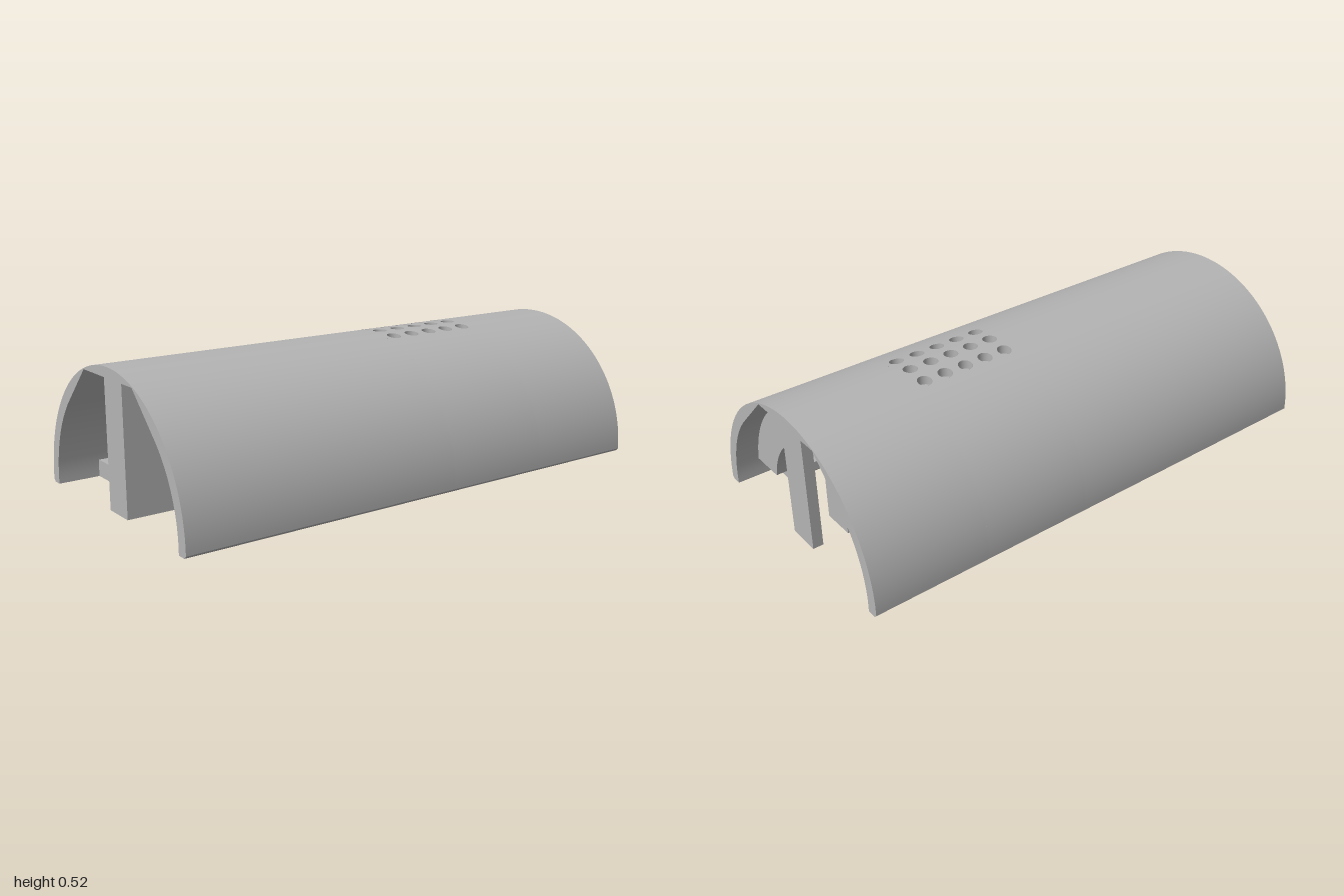
import * as THREE from 'three';
import { toCreasedNormals } from 'three/addons/utils/BufferGeometryUtils.js';
import { ParametricGeometry } from 'three/addons/geometries/ParametricGeometry.js';

const CY = 0.018, R = 0.5, RI = 0.455, ROOF = 0.48;   // shell axis height, radii, flat ceiling
const PITCH = 0.0875, HOLE = 0.027, HALF = 0.065;     // vent spacing and radius, core half width
const HOLE_X = [0, 1, 2, 3, 4].map((i) => 0.15 + i * PITCH);

const outerY = (z) => CY + Math.sqrt(R * R - z * z);

function arc(r, a0, a1, n) {
  return Array.from({ length: n + 1 }, (_, i) => {
    const a = a0 + (a1 - a0) * i / n;
    return new THREE.Vector2(r * Math.cos(a), CY + r * Math.sin(a));
  });
}
const pts = (list) => list.map(([x, y]) => new THREE.Vector2(x, y));
const mirror = (list) => list.map((p) => new THREE.Vector2(-p.x, p.y)).reverse();

// Cross-section (z, y) pulled along x
function along(points, x0, x1) {
  const g = new THREE.ExtrudeGeometry(new THREE.Shape(points), { depth: x1 - x0, bevelEnabled: false });
  g.rotateY(Math.PI / 2).translate(x0, 0, 0);
  return toCreasedNormals(g, 0.4);
}
// Plan outline (x, z) raised along y
function upward(shape, y0, y1) {
  const g = new THREE.ExtrudeGeometry(shape, { depth: y1 - y0, bevelEnabled: false, curveSegments: 24 });
  g.rotateX(-Math.PI / 2).translate(0, y0, 0);
  return toCreasedNormals(g, 0.6);
}
function rectangle(x0, x1, h) {
  return new THREE.Shape(pts([[x0, -h], [x1, -h], [x1, h], [x0, h]]));
}

// One side of the shell wall, from the crown at z = zc down to the foot and back up inside
function halfWall(zc) {
  return [
    ...arc(R, Math.acos(zc / R), 0, 48),
    ...pts([[0.5, 0.01], [0.49, 0], [RI, 0]]),
    ...arc(RI, 0, Math.PI / 4, 20),
    ...pts([[0.18, ROOF]]),
  ];
}

export function createModel() {
  const model = new THREE.Group();
  const grey = new THREE.MeshStandardMaterial({ color: 0xb4b4b4 });
  grey.name = 'plain grey';
  const add = (name, geometry, parent = model) => {
    const m = new THREE.Mesh(geometry, grey);
    m.name = name;
    parent.add(m);
    return m;
  };
  const group = (name) => {
    const g = new THREE.Group();
    g.name = name;
    model.add(g);
    return g;
  };

  // Arched shell, full sections either side of the vent area
  const shell = group('archedShell');
  const vx0 = HOLE_X[0] - PITCH / 2, vx1 = HOLE_X[4] + PITCH / 2, vz = PITCH * 1.5;
  const half = halfWall(0);
  const full = [...half, ...mirror(half).slice(0, -1)];
  add('shellRightEnd', along(full, -1, vx0), shell);
  add('shellLeftEnd', along(full, vx1, 1), shell);
  const flank = [...halfWall(vz), new THREE.Vector2(vz, ROOF)];
  add('shellBackFlank', along(flank, vx0, vx1), shell);
  add('shellFrontFlank', along(mirror(flank), vx0, vx1), shell);

  // Vent area: each cell runs from a round hole to a square border
  const vents = group('ventHoles');
  for (const cx of HOLE_X) {
    for (const cz of [-PITCH, 0, PITCH]) {
      const cell = (u, v, out, height) => {
        const a = u * Math.PI * 2, c = Math.cos(a), s = Math.sin(a);
        const border = PITCH / 2 / Math.max(Math.abs(c), Math.abs(s));
        const r = HOLE + (border - HOLE) * v;
        const z = cz + r * s;
        out.set(cx + r * c, height(z), z);
      };
      add('ventTop', new ParametricGeometry((u, v, t) => cell(u, v, t, outerY), 32, 4), vents);
      add('ventUnderside', new ParametricGeometry((u, v, t) => cell(1 - u, v, t, () => ROOF), 32, 1), vents);
      add('ventBore', new ParametricGeometry((u, v, t) => {
        cell(u, 0, t, (z) => ROOF + (outerY(z) - ROOF) * v);
      }, 32, 1), vents);
    }
  }

  // Arched ribs inside the shell
  const a0 = Math.asin(0.057 / 0.478), a1 = Math.asin(0.057 / 0.315);
  const ribOutline = [...arc(0.478, a0, Math.PI - a0, 64), ...arc(0.315, Math.PI - a1, a1, 64)];
  for (const [x, w] of [[0.885, 0.05], [0.635, 0.05], [-0.02, 0.1]]) {
    add('archRib', along(ribOutline, x - w / 2, x + w / 2));
  }

  // Stepped rails along both feet
  const rail = pts([[0.345, 0], [0.47, 0], [0.47, 0.065], [0.31, 0.065], [0.31, 0.03], [0.335, 0.03], [0.335, 0.01]]);
  add('backRail', along(rail, -0.84, 0.84));
  add('frontRail', along(mirror(rail), -0.84, 0.84));

  // Central core: end post and short block
  const core = group('centralCore');
  add('endPost', upward(rectangle(0.94, 0.98, HALF), 0, 0.47), core);
  add('shortBlock', upward(rectangle(0.67, 0.84, HALF), 0, 0.47), core);

  // Block below the vents, bored through the middle and fluted on both sides
  const a = Math.asin((PITCH - HALF) / HOLE);
  const fluted = new THREE.Shape();
  fluted.moveTo(0.05, -HALF);
  for (const x of HOLE_X) fluted.absarc(x, -PITCH, HOLE, Math.PI - a, a, true);
  fluted.lineTo(0.6, -HALF);
  fluted.lineTo(0.6, HALF);
  for (const x of [...HOLE_X].reverse()) fluted.absarc(x, PITCH, HOLE, -a, -Math.PI + a, true);
  fluted.lineTo(0.05, HALF);
  for (const x of HOLE_X) {
    fluted.holes.push(new THREE.Path().absarc(x, 0, HOLE, 0, Math.PI * 2, true));
  }
  add('flutedBlock', upward(fluted, 0, 0.47), core);

  // Long box, open underneath
  add('boxSolidEnd', upward(rectangle(-0.31, -0.09, HALF), 0, 0.47), core);
  const walls = rectangle(-0.98, -0.31, HALF);
  walls.holes.push(new THREE.Path(pts([[-0.96, -0.047], [-0.96, 0.047], [-0.31 - 0.01, 0.047], [-0.31 - 0.01, -0.047]])));
  add('boxWalls', upward(walls, 0, 0.45), core);
  add('boxRoof', upward(rectangle(-0.98, -0.31, HALF), 0.45, 0.47), core);

  return model;
}
